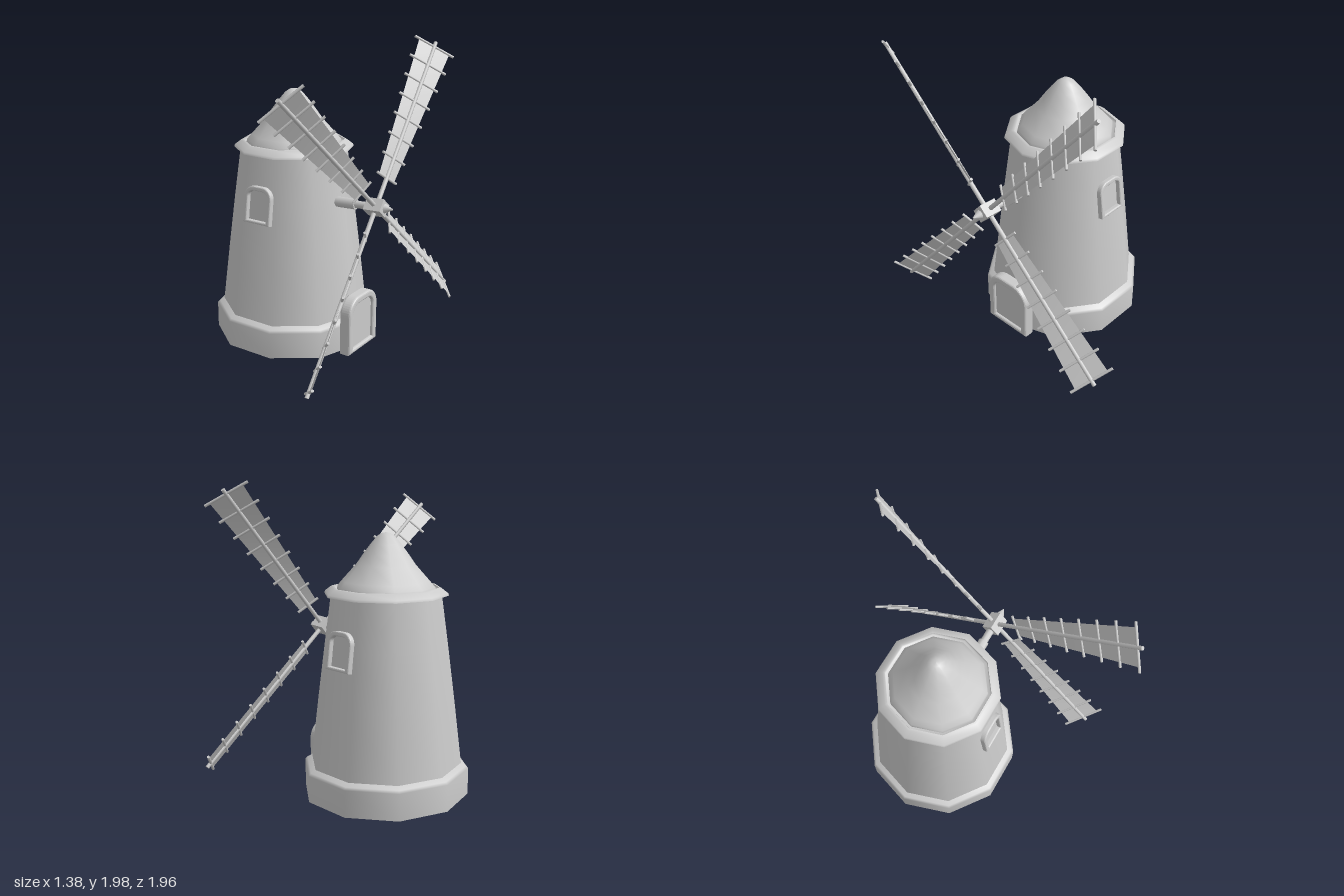
import * as THREE from 'three';

const grey = new THREE.MeshStandardMaterial({ color: 0xcccccc });
const greyThin = new THREE.MeshStandardMaterial({ color: 0xcccccc, side: THREE.DoubleSide });
const V = (x, y, z) => new THREE.Vector3(x, y, z);

function add(parent, name, geometry, material = grey) {
  const mesh = new THREE.Mesh(geometry, material);
  mesh.name = name;
  parent.add(mesh);
  return mesh;
}

// Ten-sided turned part with a corner on +x
function turned(parent, name, profile) {
  const points = profile.map(([r, y]) => new THREE.Vector2(r, y));
  return add(parent, name, new THREE.LatheGeometry(points, 10, Math.PI / 2));
}

// Straight round bar between two points, r0 at a and r1 at b
function rod(parent, name, a, b, r0, r1 = r0, sides = 8) {
  const dir = b.clone().sub(a);
  const mesh = add(parent, name, new THREE.CylinderGeometry(r1, r0, dir.length(), sides));
  mesh.position.copy(a).add(b).multiplyScalar(0.5);
  mesh.quaternion.setFromUnitVectors(V(0, 1, 0), dir.normalize());
  return mesh;
}

// Upright outline with two rounded top corners
function archPath(Type, w, h, r, y0 = 0) {
  const p = new Type();
  p.moveTo(-w / 2, y0);
  p.lineTo(w / 2, y0);
  p.lineTo(w / 2, h - r);
  p.absarc(w / 2 - r, h - r, r, 0, Math.PI / 2, false);
  p.absarc(-w / 2 + r, h - r, r, Math.PI / 2, Math.PI, false);
  p.closePath();
  return p;
}

// Rounded arch frame with a recessed panel, facing +z, standing on y = 0
function archOpening(name, w, h, t, depth, recess) {
  const group = new THREE.Group();
  group.name = name;
  const bevel = t * 0.3, r = w * 0.34;
  const outer = archPath(THREE.Shape, w - 2 * bevel, h - bevel, r - bevel);
  // The legs stay open at the bottom
  const inner = archPath(THREE.Path, w - 2 * (t - bevel), h - t + bevel, r - t + bevel, 0.002);
  outer.holes.push(inner);
  const frame = add(group, name + 'Frame', new THREE.ExtrudeGeometry(outer, {
    depth: depth - 2 * bevel, bevelThickness: bevel, bevelSize: bevel, bevelSegments: 3, curveSegments: 6,
  }));
  frame.position.z = bevel;
  const panel = archPath(THREE.Shape, w - t, h - t / 2, r - t / 2);
  add(group, name + 'Panel', new THREE.ExtrudeGeometry(panel, {
    depth: depth - recess, bevelEnabled: false, curveSegments: 6,
  }));
  return group;
}

function makeTower() {
  const tower = new THREE.Group();
  tower.name = 'tower';
  turned(tower, 'floor', [[0, 0.04], [0.53, 0.04]]);
  turned(tower, 'plinth', [[0.53, 0.04], [0.53, 0.21], [0.515, 0.225], [0.48, 0.245]]);
  turned(tower, 'wall', [[0.485, 0.235], [0.435, 0.65], [0.39, 1.0], [0.345, 1.33]]);

  // Eaves ring with a shallow gutter inside, then the bell-shaped cap
  turned(tower, 'eavesUnderside', [[0.33, 1.325], [0.39, 1.31]]);
  turned(tower, 'eaves', [[0.39, 1.31], [0.385, 1.325], [0.345, 1.355], [0.33, 1.358]]);
  turned(tower, 'gutter', [[0.33, 1.358], [0.325, 1.34], [0.29, 1.335]]);
  turned(tower, 'roof', [[0.31, 1.335], [0.305, 1.36], [0.275, 1.395], [0.185, 1.495],
    [0.14, 1.56], [0.095, 1.62], [0.055, 1.667], [0.025, 1.687], [0, 1.69]]);

  // Door on the sail side
  const door = archOpening('door', 0.34, 0.365, 0.05, 0.08, 0.02);
  door.rotation.y = Math.PI / 2;
  door.position.set(0.475, 0.04, 0);
  tower.add(door);

  // Windows on the two flanks, leaning with the wall
  for (const side of [0, 1]) {
    const pivot = new THREE.Group();
    pivot.name = side ? 'backWindow' : 'frontWindow';
    pivot.rotation.y = side * Math.PI;
    const win = archOpening('window', 0.21, 0.23, 0.03, 0.05, 0.03);
    win.position.set(0, 0.89, 0.368);
    win.rotation.x = -0.13;
    pivot.add(win);
    tower.add(pivot);
  }
  tower.position.set(-0.15, 0, -0.073);
  tower.rotation.y = -0.07;
  return tower;
}

// One twisted, widening sail along +y
function makeSail() {
  const sail = new THREE.Group();
  sail.name = 'sail';
  rod(sail, 'spar', V(0, 0, 0), V(0, 1.225, 0), 0.015, 0.013);
  const bars = 8, positions = [], index = [];
  for (let i = 0; i < bars; i++) {
    const t = i / (bars - 1), y = 0.205 + t * 0.985;
    const half = V(-0.033 - 0.06 * t, 0, 0.075 + 0.043 * t);
    const at = (s) => V(0, y, 0).addScaledVector(half, s);
    rod(sail, 'crossbar', at(-1), at(1), 0.009, 0.009, 6);
    for (const s of [-0.78, 0.78]) positions.push(...at(s).toArray());
    if (i) {
      const k = 2 * i;
      index.push(k - 2, k, k - 1, k - 1, k, k + 1);
    }
  }
  const cloth = new THREE.BufferGeometry();
  cloth.setAttribute('position', new THREE.Float32BufferAttribute(positions, 3));
  cloth.setIndex(index);
  cloth.computeVertexNormals();
  add(sail, 'cloth', cloth, greyThin);
  return sail;
}

function makeRotor() {
  const rotor = new THREE.Group();
  rotor.name = 'rotor';
  rod(rotor, 'axleSleeve', V(-0.32, 0, 0), V(-0.145, 0, 0), 0.035);
  rod(rotor, 'axle', V(-0.145, 0, 0), V(-0.05, 0, 0), 0.025);
  rod(rotor, 'collar', V(0.05, 0, 0), V(0.07, 0, 0), 0.02);
  rod(rotor, 'noseCone', V(0.065, 0, 0), V(0.118, 0, 0), 0.03, 0.004, 10);
  const spin = -0.71;
  add(rotor, 'hub', new THREE.BoxGeometry(0.12, 0.085, 0.085)).rotation.x = spin;
  for (let i = 0; i < 4; i++) {
    const sail = makeSail();
    sail.rotation.x = spin + i * Math.PI / 2;
    rotor.add(sail);
  }
  // Shaft tips slightly upwards and follows the turn of the tower
  rotor.position.set(0.497, 1.02, 0.015);
  rotor.rotation.set(0, -0.08, 0.05);
  return rotor;
}

export function createModel() {
  const model = new THREE.Group();
  model.name = 'windmill';
  model.add(makeTower(), makeRotor());
  return model;
}
